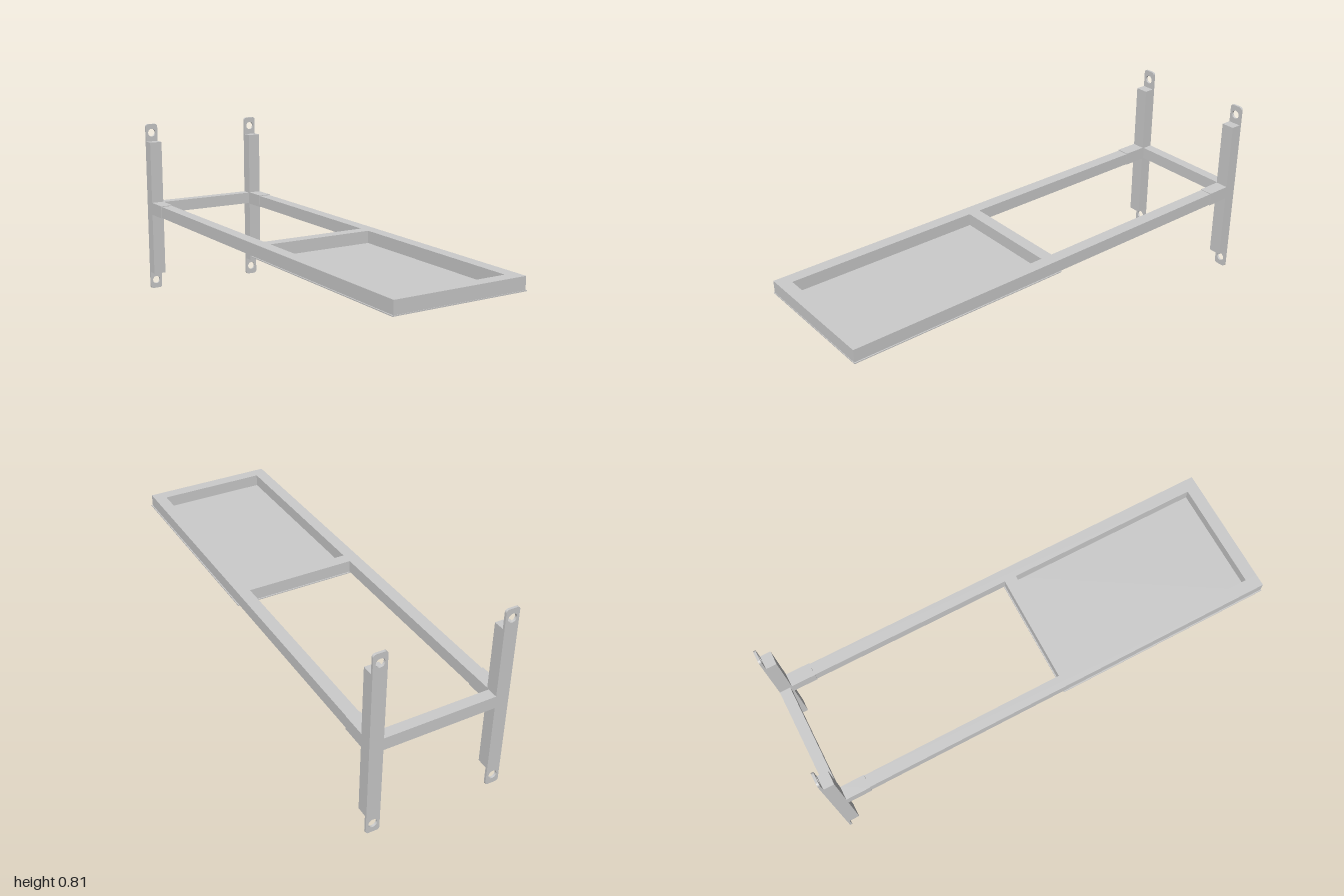
import * as THREE from 'three';

const material = new THREE.MeshStandardMaterial({ color: 0xcccccc, flatShading: true });

// Box given by its extents on each axis
function block(name, [x0, x1], [y0, y1], [z0, z1]) {
  const geo = new THREE.BoxGeometry(x1 - x0, y1 - y0, z1 - z0);
  geo.translate((x0 + x1) / 2, (y0 + y1) / 2, (z0 + z1) / 2);
  const mesh = new THREE.Mesh(geo, material);
  mesh.name = name;
  return mesh;
}

function extrude(name, shape, depth) {
  const geo = new THREE.ExtrudeGeometry(shape, { depth, bevelEnabled: false, curveSegments: 12 });
  const mesh = new THREE.Mesh(geo, material);
  mesh.name = name;
  return mesh;
}

const polygon = pts => new THREE.Shape(pts.map(p => new THREE.Vector2(...p)));

const BOTTOM = 0.378, MID = 0.404, TOP = 0.431; // frame heights
const IN = 0.238, OUT = 0.291;                  // rail inner and outer x
const POST_IN = 0.236, POST_OUT = 0.294;
const BACK = -1, PLATE_Z = -0.99, POST_Z = -0.946;

// Long rail, cut away underneath where the crossbars lap into it
function rail(side) {
  const profile = polygon([
    [POST_Z, BOTTOM], [0.04, BOTTOM], [0.04, MID], [0.093, MID], [0.093, BOTTOM],
    [0.945, BOTTOM], [0.945, MID], [0.998, MID], [0.998, TOP], [POST_Z, TOP],
  ]);
  const mesh = extrude('sideRail', profile, OUT - IN);
  mesh.rotation.y = -Math.PI / 2; // profile x becomes z
  mesh.position.x = side > 0 ? OUT : -IN;
  return mesh;
}

// Crossbar with thin lower tongues passing under the rails
function crossbar(name, z) {
  const profile = polygon([
    [-OUT, BOTTOM], [OUT, BOTTOM], [OUT, MID], [IN, MID],
    [IN, TOP], [-IN, TOP], [-IN, MID], [-OUT, MID],
  ]);
  const mesh = extrude(name, profile, 0.053);
  mesh.position.z = z;
  return mesh;
}

// Rounded mounting strip with a screw hole at each end
function mountingPlate() {
  const w = (POST_OUT - POST_IN) / 2, h = 0.805, r = 0.012;
  const s = new THREE.Shape();
  s.moveTo(-w + r, 0);
  s.lineTo(w - r, 0);
  s.absarc(w - r, r, r, -Math.PI / 2, 0);
  s.lineTo(w, h - r);
  s.absarc(w - r, h - r, r, 0, Math.PI / 2);
  s.lineTo(-w + r, h);
  s.absarc(-w + r, h - r, r, Math.PI / 2, Math.PI);
  s.lineTo(-w, r);
  s.absarc(-w + r, r, r, Math.PI, Math.PI * 1.5);
  for (const y of [0.041, h - 0.041]) {
    s.holes.push(new THREE.Path().absarc(0, y, 0.0185, 0, Math.PI * 2, true));
  }
  return extrude('mountingPlate', s, PLATE_Z - BACK);
}

export function createModel() {
  const group = new THREE.Group();
  group.name = 'wallFrame';

  for (const side of [-1, 1]) {
    const span = (a, b) => (side > 0 ? [a, b] : [-b, -a]);
    const plate = mountingPlate();
    plate.position.set(side * (POST_IN + POST_OUT) / 2, 0, BACK);
    group.add(
      plate,
      block('post', span(POST_IN, POST_OUT), [0.083, 0.723], [PLATE_Z, POST_Z]),
      block('railSleeve', span(POST_IN, POST_OUT), [0.376, 0.434], [POST_Z, -0.842]),
      rail(side),
    );
  }

  group.add(
    crossbar('frontCrossbar', 0.945),
    crossbar('middleCrossbar', 0.04),
    block('backCrossbar', [-POST_IN, POST_IN], [BOTTOM, TOP], [BACK, -0.954]),
    // Thin tray floor under the front half
    block('floorPanel', [-0.296, 0.296], [0.374, BOTTOM], [0.035, 1]),
  );
  return group;
}
